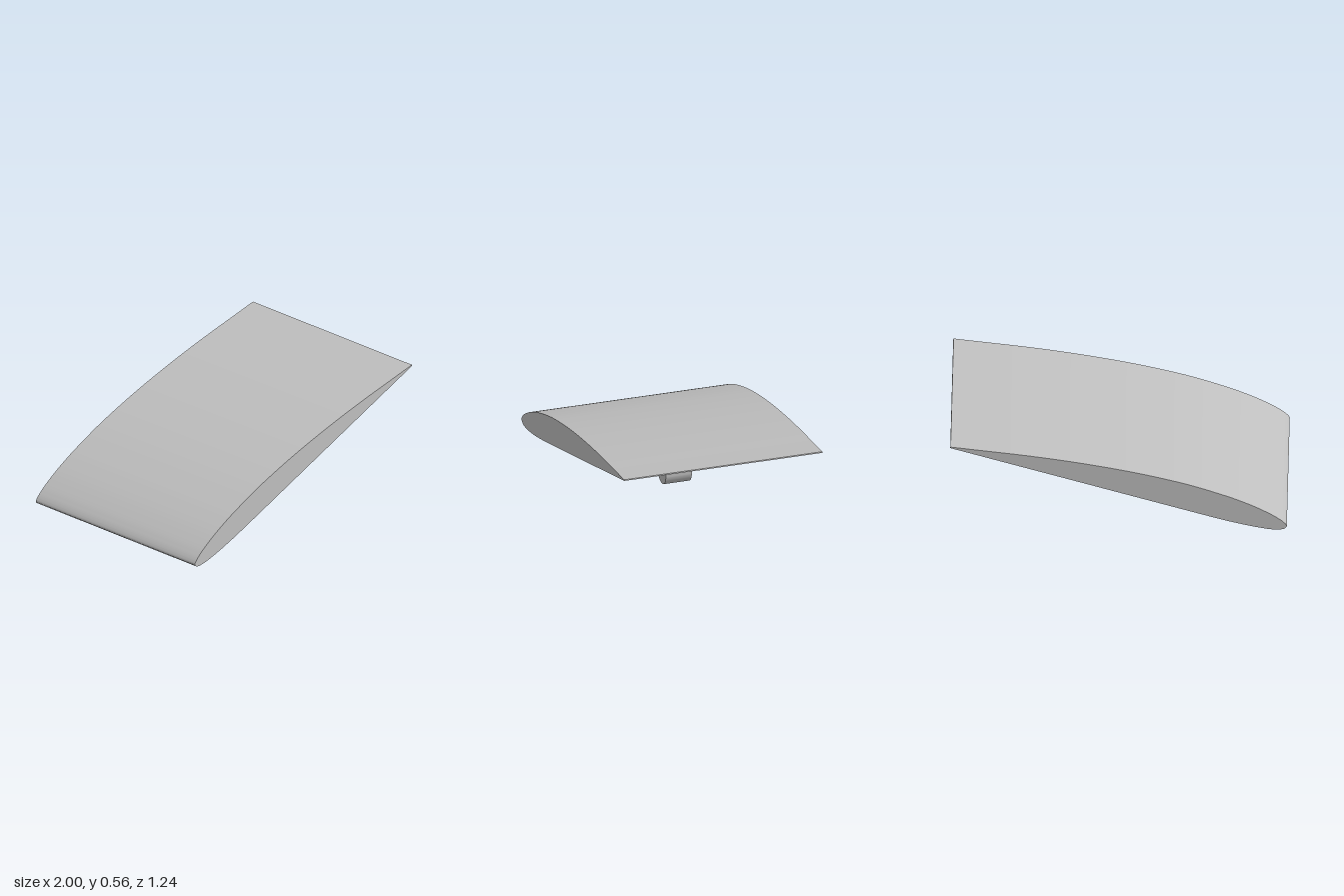
import * as THREE from 'three';
import { toCreasedNormals } from 'three/addons/utils/BufferGeometryUtils.js';

const CHORD = 2.066, PITCH = Math.atan(0.3);

// Section in percent of chord: tail, over the top, round the nose, flat underside.
const SECTION = [
  [100, 0.35], [90, 2.05], [80, 3.75], [70, 5.25], [60, 6.5], [50, 7.5], [40, 8.15],
  [30, 8.4], [20, 8.0], [15, 7.55], [10, 6.85], [5, 5.75], [2.5, 4.95], [1.25, 4.4],
  [0.4, 3.85], [0, 3.3], [0.4, 2.5], [1.25, 1.93], [2.5, 1.47], [5, 0.93], [10, 0.42],
  [15, 0.15], [20, 0.03], [30, 0], [45, 0], [70, 0], [100, 0],
];

// Extrude a shape along z, centred, with crisp rims and smooth sides.
function prism(shape, depth) {
  const geometry = new THREE.ExtrudeGeometry(shape, { depth, bevelEnabled: false, curveSegments: 32 });
  geometry.translate(0, 0, -depth / 2);
  return toCreasedNormals(geometry, 0.6);
}

export function createModel() {
  const group = new THREE.Group();
  const grey = new THREE.MeshStandardMaterial({ name: 'light grey', color: 0xbfbfbf });
  const add = (name, geometry) => {
    const mesh = new THREE.Mesh(geometry, grey);
    mesh.name = name;
    group.add(mesh);
    return mesh;
  };

  // Wing, pitched about its trailing edge
  const outline = new THREE.SplineCurve(SECTION.map(([u, v]) =>
    new THREE.Vector2((u / 100 - 1) * CHORD, (v / 100) * CHORD)));
  const wing = add('wing', prism(new THREE.Shape(outline.getPoints(156)), 1.236));
  wing.rotation.z = PITCH;
  wing.position.set(1, 0.55, 0);

  // Stem, square to the underside
  const stem = add('stem', new THREE.BoxGeometry(0.085, 0.15, 0.106));
  stem.rotation.z = PITCH;
  stem.position.set(0.018, 0.215, 0);

  // Pivot barrel with a bore
  const ring = new THREE.Shape().absarc(0, 0, 0.087, 0, Math.PI * 2, false);
  ring.holes.push(new THREE.Path().absarc(0, 0, 0.02, 0, Math.PI * 2, true));
  add('pivotBarrel', prism(ring, 0.162)).position.set(0.048, 0.097, 0);

  return group;
}
